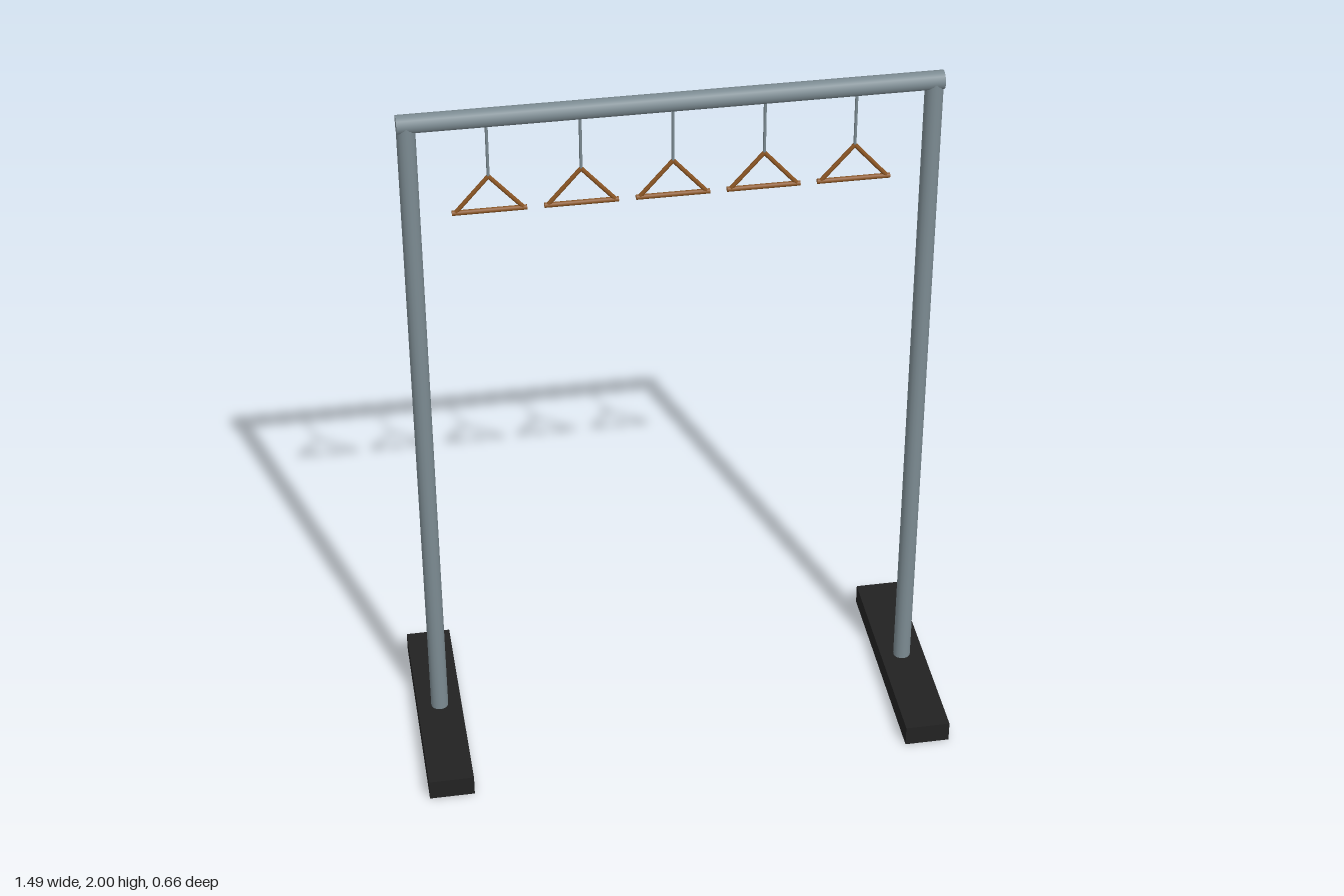
import * as THREE from 'three';

const steel = new THREE.MeshStandardMaterial({ color: 0x7c8b92 });
steel.name = 'steel grey';
const rubber = new THREE.MeshStandardMaterial({ color: 0x222222 });
rubber.name = 'black';
const wood = new THREE.MeshStandardMaterial({ color: 0x8b5523 });
wood.name = 'brown';

// Round bar running between two points
function rod(name, a, b, radius, material, sides = 16) {
  const from = new THREE.Vector3(...a), to = new THREE.Vector3(...b);
  const dir = to.clone().sub(from);
  const mesh = new THREE.Mesh(new THREE.CylinderGeometry(radius, radius, dir.length(), sides), material);
  mesh.position.copy(from).add(to).multiplyScalar(0.5);
  mesh.quaternion.setFromUnitVectors(new THREE.Vector3(0, 1, 0), dir.normalize());
  mesh.name = name;
  return mesh;
}

// Triangular handle on a thin drop rod
function createHandle(x) {
  const handle = new THREE.Group();
  handle.name = 'handle';
  handle.position.x = x;
  const apex = [0, 1.803, 0], left = [0.089, 1.702, 0], right = [-0.089, 1.702, 0];
  handle.add(
    rod('dropRod', [0, 1.96, 0], [0, 1.805, 0], 0.004, steel, 10),
    rod('handleSide', apex, left, 0.006, wood, 8),
    rod('handleSide', apex, right, 0.006, wood, 8),
    rod('handleGrip', [-0.097, 1.702, 0], [0.097, 1.702, 0], 0.007, wood, 8),
  );
  return handle;
}

export function createModel() {
  const model = new THREE.Group();
  model.name = 'hangingBars';

  // Feet and posts
  for (const side of [-1, 1]) {
    const foot = new THREE.Mesh(new THREE.BoxGeometry(0.126, 0.06, 0.656), rubber);
    foot.name = 'foot';
    foot.position.set(side * 0.682, 0.03, 0);
    model.add(foot, rod('post', [side * 0.681, 0.05, 0], [side * 0.681, 1.975, 0], 0.0245, steel));
  }

  // Top bar
  model.add(rod('topBar', [-0.705, 1.975, 0], [0.705, 1.975, 0], 0.025, steel));

  // Row of handles
  for (let i = -2; i <= 2; i++) model.add(createHandle(i * 0.239));

  return model;
}
